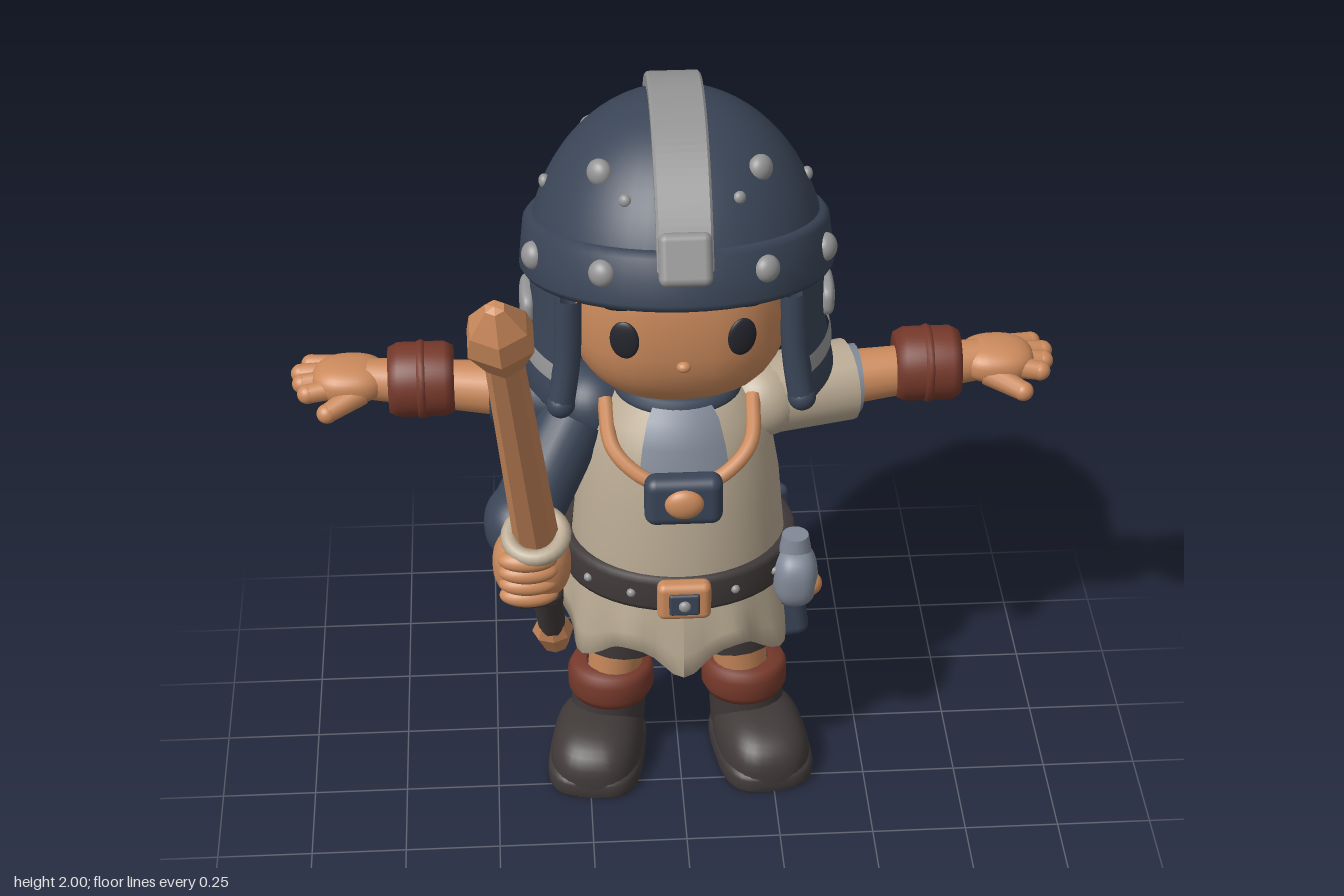
import * as THREE from 'three';
import { mergeVertices } from 'three/addons/utils/BufferGeometryUtils.js';
import { RoundedBoxGeometry } from 'three/addons/geometries/RoundedBoxGeometry.js';

const paint = (name, color) => {
  const m = new THREE.MeshStandardMaterial({ color, side: THREE.DoubleSide });
  m.name = name;
  return m;
};
const V = (x, y, z) => new THREE.Vector3(x, y, z);

export function createModel() {
  const model = new THREE.Group();
  const navy = paint('navy', 0x3a4557), skin = paint('skin and wood', 0xcb8a5c), cream = paint('cream cloth', 0xb9aa93);
  const red = paint('red leather', 0x76392b), charcoal = paint('charcoal', 0x403a39), grey = paint('grey metal', 0x949494);
  const steel = paint('steel cloth', 0x818997), black = paint('black', 0x25262d);

  const add = (name, geo, mat, pos = [0, 0, 0], parent = model) => {
    const m = new THREE.Mesh(geo, mat);
    m.name = name;
    m.position.set(...pos);
    parent.add(m);
    return m;
  };
  // Ellipsoid; power below 1 makes it boxier, floor flattens its underside
  const ball = (rx, ry, rz, power = 1, floor = -9) => {
    let g = new THREE.SphereGeometry(1, 32, 20);
    const p = g.attributes.position, f = v => Math.sign(v) * Math.abs(v) ** power;
    for (let i = 0; i < p.count; i++)
      p.setXYZ(i, f(p.getX(i)) * rx, Math.max(floor, f(p.getY(i)) * ry), f(p.getZ(i)) * rz);
    g.deleteAttribute('uv');
    g.deleteAttribute('normal');
    g = mergeVertices(g);
    g.computeVertexNormals();
    return g;
  };
  // Tapered rod between two points
  const rod = (name, a, b, r1, r2, mat, sides = 20, parent = model) => {
    const A = V(...a), B = V(...b), d = B.clone().sub(A);
    const m = add(name, new THREE.CylinderGeometry(r2, r1, d.length(), sides), mat, A.add(B).multiplyScalar(0.5).toArray(), parent);
    m.quaternion.setFromUnitVectors(V(0, 1, 0), d.normalize());
    return m;
  };
  // Lathe squashed in depth; profile is [radius, y] pairs
  const turn = (pts, squash, from = 0, length = Math.PI * 2, seg = 48) =>
    new THREE.LatheGeometry(pts.map(p => new THREE.Vector2(...p)), seg, from, length).scale(1, 1, squash);
  const bandPts = (r, y0, y1, t) => [[r - t, y0], [r - t / 4, y0], [r, y0 + t / 2], [r, y1 - t / 2], [r - t / 4, y1], [r - t, y1]];

  // Boots, cuffs, legs and shorts
  for (const s of [1, -1]) {
    const boot = add('boot', ball(0.125, 0.125, 0.18, 0.75, -0.035), charcoal, [s * 0.225, 0.035, -0.105]);
    boot.rotation.y = s * 0.15;
    const sole = add('sole', ball(0.13, 0.05, 0.185, 0.6, -0.025), charcoal, [s * 0.225, 0.025, -0.11]);
    sole.rotation.y = s * 0.15;
    rod('bootShaft', [s * 0.2, 0.03, -0.195], [s * 0.185, 0.21, -0.19], 0.105, 0.1, charcoal);
    add('ankleCuff', turn(bandPts(0.117, 0.18, 0.28, 0.05), 0.97), red, [s * 0.183, 0, -0.19]);
    rod('leg', [s * 0.18, 0.2, -0.19], [s * 0.15, 0.45, -0.18], 0.07, 0.08, skin);
    rod('shortsLeg', [s * 0.15, 0.385, -0.18], [s * 0.14, 0.62, -0.17], 0.13, 0.14, charcoal);
  }

  // Tunic body and wavy skirt
  const bodyZ = -0.165;
  add('tunic', turn([[0.28, 0.6], [0.285, 0.7], [0.275, 0.8], [0.265, 0.92], [0.243, 1.05], [0.212, 1.14], [0.15, 1.2], [0.08, 1.22]], 0.9), cream, [0, 0, bodyZ]);
  const skirt = turn([[0.24, 0.6], [0.285, 0.49], [0.312, 0.485], [0.308, 0.54], [0.298, 0.61], [0.28, 0.69]], 0.88, 0, Math.PI * 2, 72);
  const sp = skirt.attributes.position;
  for (let i = 0; i < sp.count; i++) {
    const a = Math.atan2(sp.getX(i), sp.getZ(i)), t = Math.min(1, Math.max(0, (0.66 - sp.getY(i)) / 0.16));
    const k = 1 + 0.035 * t * Math.cos(12 * a);
    sp.setXYZ(i, sp.getX(i) * k, sp.getY(i) - 0.04 * t * Math.cos(6 * a), sp.getZ(i) * k);
  }
  skirt.computeVertexNormals();
  add('skirt', skirt, cream, [0, 0, bodyZ]);

  // Belt with studs and buckle
  add('belt', turn(bandPts(0.312, 0.65, 0.75, 0.03), 0.87), charcoal, [0, 0, bodyZ]);
  for (let i = 1; i < 14; i++) {
    const a = i * Math.PI * 2 / 14;
    add('beltStud', ball(0.012, 0.012, 0.012), grey, [0.312 * Math.sin(a), 0.7, bodyZ + 0.271 * Math.cos(a)]);
  }
  add('buckle', new RoundedBoxGeometry(0.14, 0.11, 0.05, 3, 0.02), skin, [0, 0.7, 0.115]);
  add('buckleInset', new RoundedBoxGeometry(0.08, 0.065, 0.02, 3, 0.008), navy, [0, 0.7, 0.138]);
  add('buckleStud', ball(0.016, 0.016, 0.012), grey, [0, 0.7, 0.15]);

  // Things hung on the left of the belt
  add('flask', ball(0.06, 0.085, 0.075, 0.8), steel, [0.3, 0.67, -0.02]);
  add('flaskNeck', new THREE.CylinderGeometry(0.035, 0.045, 0.06, 16), steel, [0.3, 0.76, -0.03]);
  add('flaskBoss', ball(0.035, 0.035, 0.03), skin, [0.335, 0.655, 0.005]);
  add('pouchStrap', new RoundedBoxGeometry(0.09, 0.06, 0.28, 3, 0.02), navy, [0.275, 0.575, -0.18]);
  add('navyPouch', new RoundedBoxGeometry(0.1, 0.14, 0.13, 3, 0.03), navy, [0.29, 0.5, -0.115]).rotation.z = 0.15;
  add('tanPouch', new RoundedBoxGeometry(0.09, 0.12, 0.13, 3, 0.03), skin, [0.27, 0.49, -0.25]);
  add('beltLoop', new RoundedBoxGeometry(0.07, 0.11, 0.1, 3, 0.02), navy, [0.255, 0.71, -0.31]).rotation.y = 0.6;

  // Collar, straps and brooch
  rod('neck', [0, 1.12, -0.17], [0, 1.3, -0.17], 0.11, 0.11, skin);
  add('collar', turn(bandPts(0.165, 1.165, 1.215, 0.04), 0.92), navy, [0, 0, bodyZ]);
  add('bib', turn([[0.255, 1.03], [0.232, 1.11], [0.2, 1.175], [0.15, 1.21]], 0.9, -0.45, 0.95), steel, [0, 0, bodyZ]);
  add('backStrap', turn([[0.238, 1.09], [0.225, 1.125], [0.19, 1.175]], 0.9, Math.PI - 0.9, 1.8), skin, [0, 0, bodyZ]);
  for (const s of [1, -1]) {
    const path = new THREE.CatmullRomCurve3([V(s * 0.19, 1.17, -0.12), V(s * 0.175, 1.1, 0.0), V(s * 0.11, 1.05, 0.055), V(s * 0.03, 1.02, 0.075)]);
    add('chestStrap', new THREE.TubeGeometry(path, 20, 0.02, 8), skin);
  }
  add('brooch', new RoundedBoxGeometry(0.2, 0.14, 0.07, 4, 0.03), navy, [0, 1.0, 0.09]);
  add('broochStone', ball(0.05, 0.042, 0.025), skin, [0, 1.005, 0.125]);

  // Outstretched arms
  for (const s of [1, -1]) {
    const sleeve = s > 0 ? cream : navy;
    add('shoulder', ball(0.11, 0.105, 0.11), sleeve, [s * 0.22, 1.115, -0.2]);
    rod('sleeve', [s * 0.2, 1.115, -0.2], [s * 0.45, 1.12, -0.26], 0.105, 0.108, sleeve);
    rod('sleeveCuff', [s * 0.435, 1.12, -0.26], [s * 0.475, 1.12, -0.265], 0.092, 0.09, s > 0 ? steel : navy);
    rod('forearm', [s * 0.4, 1.125, -0.25], [s * 0.8, 1.145, -0.295], 0.075, 0.055, skin);
    const wrist = add('wristband', turn(bandPts(0.098, -0.085, 0.085, 0.05), 1), red, [s * 0.66, 1.145, -0.285]);
    wrist.rotation.z = Math.PI / 2;
    add('wristbandRidge', new THREE.TorusGeometry(0.09, 0.014, 8, 28), red, [s * 0.66, 1.145, -0.285]).rotation.y = Math.PI / 2;
    add('palm', ball(0.1, 0.052, 0.085, 0.85), skin, [s * 0.845, 1.145, -0.3]);
    [[0.955, -0.245], [0.97, -0.295], [0.975, -0.345], [0.95, -0.39]].forEach(([x, z]) => {
      rod('finger', [s * 0.85, 1.145, -0.3 + (z + 0.3) * 0.6], [s * x, 1.135, z], 0.032, 0.026, skin, 12);
      add('fingertip', ball(0.027, 0.026, 0.026), skin, [s * x, 1.135, z]);
    });
    rod('thumb', [s * 0.82, 1.13, -0.25], [s * 0.905, 1.105, -0.195], 0.034, 0.026, skin, 12);
    add('thumbTip', ball(0.027, 0.026, 0.026), skin, [s * 0.905, 1.105, -0.195]);
  }

  // Bent arm gripping the weapon
  rod('bentUpperArm', [-0.27, 1.1, -0.15], [-0.4, 0.89, -0.03], 0.09, 0.095, navy);
  add('elbow', ball(0.105, 0.1, 0.11, 0.9), navy, [-0.405, 0.88, -0.0]);
  rod('bentForearm', [-0.4, 0.88, 0], [-0.39, 0.87, 0.11], 0.1, 0.08, navy);
  add('fist', ball(0.1, 0.1, 0.085, 0.85), skin, [-0.39, 0.865, 0.155]);
  for (let i = 0; i < 4; i++)
    add('grippingFinger', ball(0.075, 0.03, 0.04), skin, [-0.4, 0.8 + i * 0.042, 0.205 + i * 0.008]);

  // Wooden weapon, built upright and then leaned forward
  const weapon = new THREE.Group();
  weapon.name = 'weapon';
  weapon.position.set(-0.37, 0.88, 0.15);
  weapon.quaternion.setFromUnitVectors(V(0, 1, 0), V(-0.085, 1, 0.43).normalize());
  model.add(weapon);
  const flat = g => { const n = g.toNonIndexed(); n.computeVertexNormals(); return n; };
  add('shaft', flat(new THREE.CylinderGeometry(0.046, 0.058, 0.84, 8).scale(1, 1, 0.75)), skin, [0, 0.5, 0], weapon);
  add('spearhead', flat(turn([[0, 0.86], [0.048, 0.87], [0.088, 0.96], [0.075, 1.02], [0.025, 1.09], [0, 1.095]], 0.9, 0, Math.PI * 2, 6)), skin, [0, 0, 0], weapon);
  add('guard', new THREE.TorusGeometry(0.068, 0.022, 10, 24).rotateX(Math.PI / 2), cream, [0, 0.1, 0], weapon);
  add('handle', new THREE.CylinderGeometry(0.042, 0.036, 0.36, 16), charcoal, [0, -0.2, 0], weapon);
  add('handleCollar', new RoundedBoxGeometry(0.13, 0.06, 0.09, 3, 0.02), charcoal, [-0.02, -0.17, 0], weapon);
  add('pommel', flat(turn([[0, -0.49], [0.035, -0.46], [0.055, -0.38], [0.03, -0.31], [0, -0.31]], 0.8, 0, Math.PI * 2, 8)), skin, [0, 0, 0], weapon);

  // Head and face
  const hy = 1.475, hz = -0.18;
  add('head', ball(0.285, 0.275, 0.28, 0.8), skin, [0, hy, hz]);
  const faceZ = (x, y) => hz + 0.28 * (1 - Math.abs(x / 0.285) ** 2.5 - Math.abs((y - hy) / 0.275) ** 2.5) ** 0.4;
  for (const s of [1, -1]) {
    add('eye', ball(0.038, 0.052, 0.012), black, [s * 0.145, 1.47, faceZ(0.145, 1.47)]).rotation.y = s * 0.35;
    const brow = add('eyebrow', ball(0.06, 0.026, 0.016, 0.7), black, [s * 0.145, 1.578, faceZ(0.145, 1.578)]);
    brow.rotation.set(-0.3, s * 0.4, -s * 0.08);
    add('ear', ball(0.03, 0.06, 0.05), skin, [s * 0.285, 1.42, -0.16]);
  }
  add('nose', ball(0.018, 0.014, 0.016), skin, [0, 1.4, 0.1]);
  add('hairTuft', new THREE.ConeGeometry(0.065, 0.12, 12).rotateX(Math.PI).scale(1, 1, 0.5), black, [0, 1.59, 0.085]);

  // Helmet: tilted dome, rim, crest and rivets
  const helmet = new THREE.Group();
  helmet.name = 'helmet';
  helmet.position.set(0, 1.53, -0.205);
  helmet.rotation.x = -0.24;
  model.add(helmet);
  const H = 0.445, deep = 1.06;
  const domeR = y => 0.378 * Math.sqrt(Math.max(0, 1 - (y / H) ** 2));
  const dome = Array.from({ length: 21 }, (_, i) => H * Math.sin(i / 20 * Math.PI / 2)).map(y => [domeR(y), y]);
  add('dome', turn(dome, deep), navy, [0, 0, 0], helmet);
  add('rim', turn([[0.34, -0.005], [0.385, -0.012], [0.397, 0.005], [0.392, 0.06], [0.385, 0.12], [0.372, 0.135], [0.35, 0.135]], deep), navy, [0, 0, 0], helmet);
  const crest = new THREE.Shape();
  crest.absellipse(0, 0, 0.424, 0.468, 0.2, Math.PI - 0.04, false);
  crest.absellipse(0, 0, 0.37, 0.42, Math.PI - 0.04, 0.2, true);
  const crestGeo = new THREE.ExtrudeGeometry(crest, { depth: 0.125, bevelEnabled: true, bevelSize: 0.006, bevelThickness: 0.006, bevelSegments: 1, curveSegments: 32 });
  add('crest', crestGeo.translate(0, 0, -0.0625).rotateY(-Math.PI / 2), grey, [0, 0, 0], helmet);
  add('crestFront', new RoundedBoxGeometry(0.13, 0.13, 0.05, 3, 0.02), grey, [0, 0.12, 0.408], helmet).rotation.x = -0.2;
  for (const s of [1, -1])
    for (const [a, y, r] of [[0.54, 0.075, 0.034], [1.2, 0.065, 0.036], [2.0, 0.07, 0.018], [2.65, 0.07, 0.018], [0.75, 0.29, 0.034], [2.35, 0.29, 0.034], [1.5, 0.22, 0.018], [0.45, 0.24, 0.016]]) {
      const R = y < 0.13 ? 0.388 : domeR(y);
      add('rivet', ball(r, r, r * 0.8), grey, [s * R * Math.sin(a), y, R * deep * Math.cos(a)], helmet).rotation.y = s * a;
    }

  // Cheek flaps joined round the neck, with metal plates
  const flapZ = -0.2, open = 0.95;
  const flapPts = [[0.32, 1.52], [0.325, 1.36], [0.345, 1.23], [0.385, 1.215], [0.402, 1.24], [0.392, 1.29], [0.378, 1.36], [0.368, 1.55]];
  add('neckGuard', turn(flapPts, 0.93, open, Math.PI * 2 - 2 * open), navy, [0, 0, flapZ]);
  for (const s of [1, -1]) {
    const at = (r, y) => V(s * r * Math.sin(open), y, flapZ + r * 0.93 * Math.cos(open));
    const edge = new THREE.CatmullRomCurve3([at(0.342, 1.54), at(0.352, 1.36), at(0.374, 1.235)]);
    add('flapEdge', new THREE.TubeGeometry(edge, 12, 0.034, 12), navy);
    add('flapCorner', ball(0.036, 0.036, 0.036), navy, at(0.374, 1.24).toArray());
    add('flapBar', turn([[0.396, 1.315], [0.394, 1.335], [0.388, 1.36]], 0.93, s * Math.PI / 2 - 0.6, 1.2), grey, [0, 0, flapZ]);
    add('flapPlate', ball(0.022, 0.048, 0.078, 0.7), grey, [s * 0.378, 1.43, -0.2]);
  }
  return model;
}
